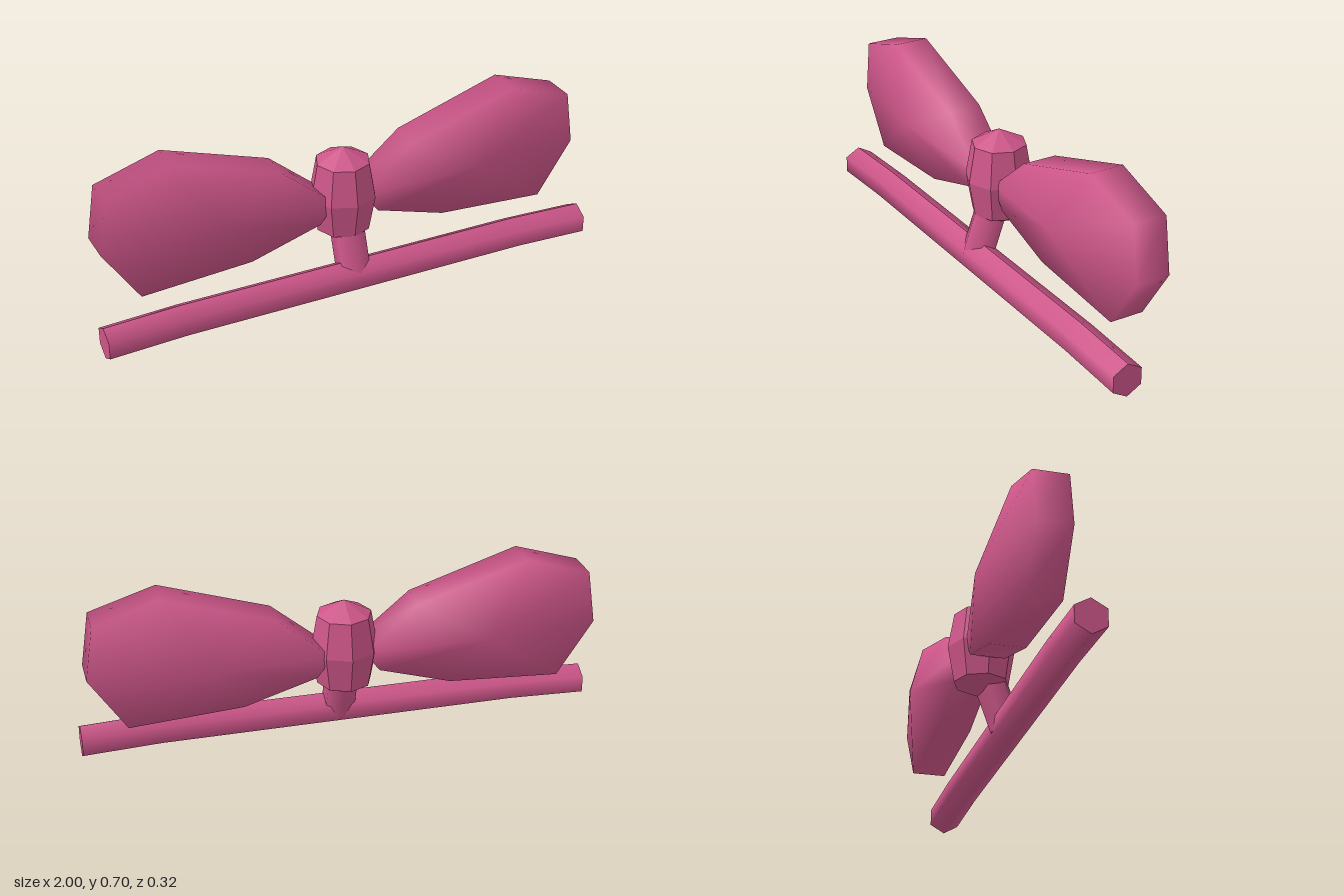
import * as THREE from 'three';

const material = new THREE.MeshStandardMaterial({ color: 0xcc5588 });
const flatMaterial = new THREE.MeshStandardMaterial({ color: 0xcc5588, flatShading: true });

// Wing outline, counter-clockwise seen from the front
const OUTLINE = [
  [0.06, 0.39], [0.12, 0.31], [0.40, 0.225], [0.835, 0.197],
  [0.975, 0.41], [0.943, 0.62], [0.69, 0.70], [0.27, 0.565],
];

// Puffed wing: two rims joined by a strip, each fanned to a raised centre
function wingGeometry(side) {
  const n = OUTLINE.length;
  const outline = side > 0 ? OUTLINE : OUTLINE.map(([x, y]) => [-x, y]).reverse();
  const positions = [];
  for (const z of [0.06, -0.073]) for (const [x, y] of outline) positions.push(x, y, z);
  positions.push(side * 0.525, 0.43, 0.12, side * 0.525, 0.43, -0.16);
  const index = [];
  for (let i = 0; i < n; i++) {
    const j = (i + 1) % n;
    index.push(2 * n, i, j);
    index.push(2 * n + 1, n + j, n + i);
    index.push(i, n + i, n + j, i, n + j, j);
  }
  const geometry = new THREE.BufferGeometry();
  geometry.setAttribute('position', new THREE.Float32BufferAttribute(positions, 3));
  geometry.setIndex(index);
  geometry.computeVertexNormals();
  return geometry;
}

// Six-sided bar along x whose ends droop slightly
function bandGeometry() {
  const geometry = new THREE.CylinderGeometry(0.065, 0.065, 2, 6, 3);
  geometry.rotateY(Math.PI / 2).rotateZ(Math.PI / 2);
  const p = geometry.attributes.position;
  for (let i = 0; i < p.count; i++) {
    const end = Math.abs(p.getX(i)) > 0.9;
    if (!end) p.setX(i, Math.sign(p.getX(i)) * 0.7);
    p.setY(i, p.getY(i) + (end ? 0.068 : 0.08));
    p.setZ(i, p.getZ(i) * 1.02 + 0.1);
  }
  geometry.computeVertexNormals();
  return geometry;
}

export function createModel() {
  const group = new THREE.Group();
  const add = (name, geometry, mat = material) => {
    const mesh = new THREE.Mesh(geometry, mat);
    mesh.name = name;
    group.add(mesh);
    return mesh;
  };

  add('leftWing', wingGeometry(1));
  add('rightWing', wingGeometry(-1));
  add('band', bandGeometry());

  // Faceted centre knot
  const profile = [[0, 0.195], [0.105, 0.25], [0.13, 0.39], [0.105, 0.53], [0, 0.585]]
    .map(([r, y]) => new THREE.Vector2(r, y));
  add('knot', new THREE.LatheGeometry(profile, 8), flatMaterial);

  // Leaning post from the band up into the knot
  const start = new THREE.Vector3(0, 0.08, 0.098);
  const direction = new THREE.Vector3(0, 0.2, -0.07).normalize();
  const length = 0.26;
  const post = add('post', new THREE.CylinderGeometry(0.066, 0.066, length, 6));
  post.position.copy(start).addScaledVector(direction, length / 2);
  post.quaternion.setFromUnitVectors(new THREE.Vector3(0, 1, 0), direction);

  return group;
}
